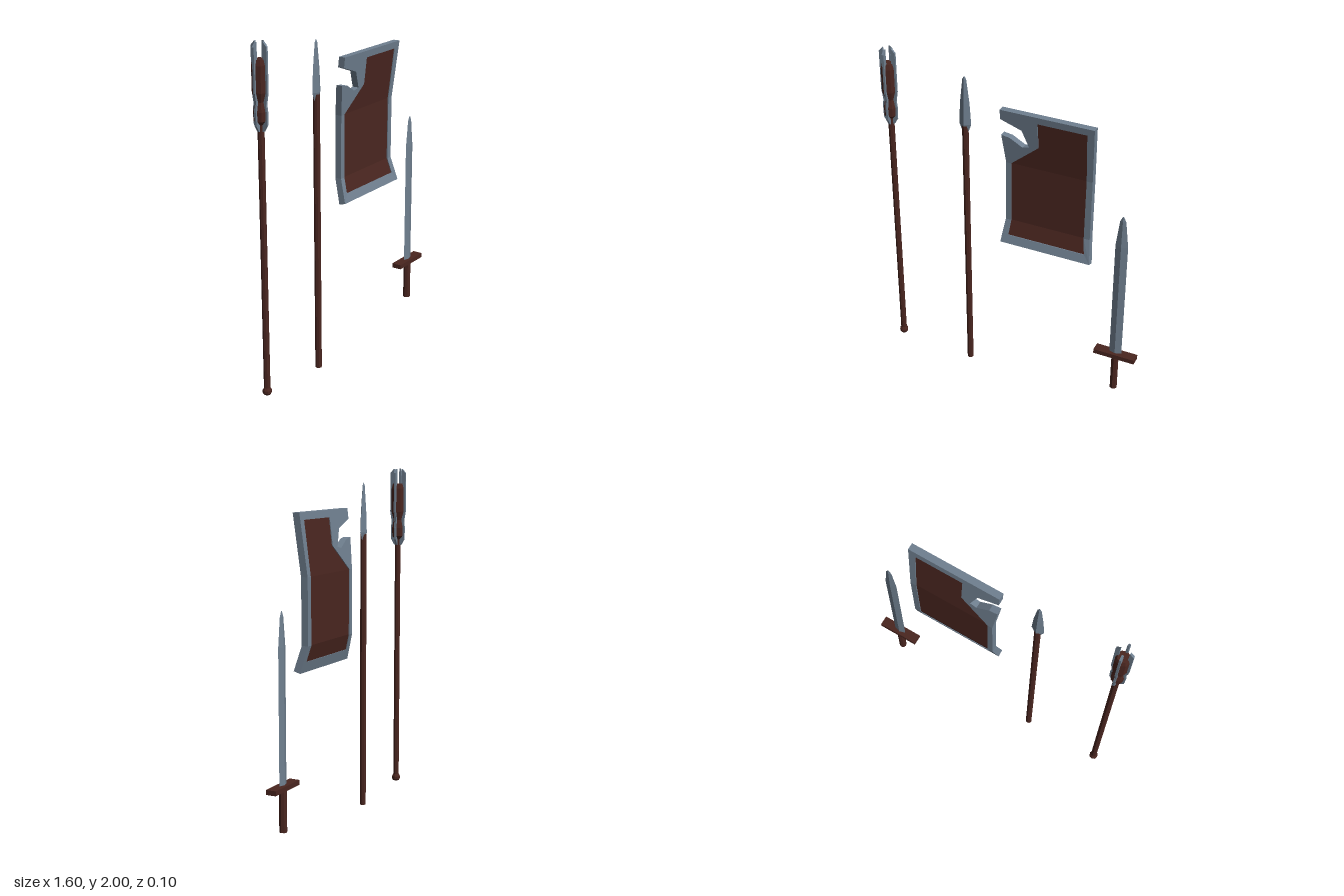
import * as THREE from 'three';

const wood = new THREE.MeshStandardMaterial({ color: 0x4a2620, flatShading: true });
const steel = new THREE.MeshStandardMaterial({ color: 0x708090, flatShading: true });

function add(parent, name, geometry, material, x = 0, y = 0, z = 0) {
  const mesh = new THREE.Mesh(geometry, material);
  mesh.name = name;
  mesh.position.set(x, y, z);
  parent.add(mesh);
  return mesh;
}

function group(parent, name, x = 0) {
  const g = new THREE.Group();
  g.name = name;
  g.position.x = x;
  parent.add(g);
  return g;
}

const points = (list) => list.map(([a, b]) => new THREE.Vector2(a, b));
const lathe = (profile, sides) => new THREE.LatheGeometry(points(profile), sides);
const rod = (r, y0, y1) => new THREE.CylinderGeometry(r, r, y1 - y0, 8).translate(0, (y0 + y1) / 2, 0);

// Heights of the shield's two bends, and its front surface at any height
const LOW = 1.08, HIGH = 1.45;
const frontZ = (y) => -0.01 + 0.04 * Math.max(0, (y - HIGH) / (1.79 - HIGH), (LOW - y) / (LOW - 0.93));

// One slab of the shield, sheared to follow the bends, without walls on the bend lines
function slab(outline, inset) {
  const depth = 0.04 - 2 * inset;
  const geo = new THREE.ExtrudeGeometry(new THREE.Shape(points(outline)), { depth, bevelEnabled: false });
  const p = geo.attributes.position;
  const kept = [];
  for (let i = 0; i < p.count; i += 3) {
    const tri = [0, 1, 2].map((k) => new THREE.Vector3().fromBufferAttribute(p, i + k));
    if ([LOW, HIGH].some((h) => tri.every((v) => Math.abs(v.y - h) < 1e-5))) continue;
    for (const v of tri) {
      const isFront = v.z > depth / 2;
      const z = v.z - depth - inset + frontZ(v.y);
      // The bottom edge is cut square to the slope
      const lift = isFront && v.y < 0.94 ? 0.012 : 0;
      kept.push(v.x, v.y + lift, z);
    }
  }
  const out = new THREE.BufferGeometry();
  out.setAttribute('position', new THREE.Float32BufferAttribute(kept, 3));
  out.computeVertexNormals();
  return out;
}

function buildMace(root) {
  const mace = group(root, 'mace', -0.75);
  add(mace, 'maceShaft', rod(0.018, 0.05, 1.6), wood);
  add(mace, 'macePommel', lathe([[0, 0.035], [0.02, 0.035], [0.026, 0.045], [0.026, 0.06], [0.018, 0.075]], 8), wood);
  add(mace, 'maceCore', lathe([
    [0.018, 1.57], [0.036, 1.59], [0.038, 1.64], [0.028, 1.69], [0.042, 1.74],
    [0.042, 1.88], [0.034, 1.91], [0, 1.91],
  ], 8), wood);
  // Four upright flanges around the core
  const flange = new THREE.ExtrudeGeometry(new THREE.Shape(points([
    [0.012, 1.535], [0.022, 1.535], [0.043, 1.57], [0.045, 1.64], [0.04, 1.68], [0.05, 1.74],
    [0.05, 1.975], [0.027, 2.0], [0.025, 1.9], [0.012, 1.88],
  ])), { depth: 0.012, bevelEnabled: false }).translate(0, 0, -0.006);
  for (let i = 0; i < 4; i++) add(mace, 'maceFlange', flange, steel).rotation.y = (i * Math.PI) / 2;
}

function buildSpear(root) {
  const spear = group(root, 'spear', -0.275);
  add(spear, 'spearShaft', rod(0.019, 0, 1.63), wood);
  const head = lathe([[0, 1.59], [0.018, 1.59], [0.037, 1.64], [0.029, 1.77], [0.012, 1.91], [0, 1.93]], 4);
  add(spear, 'spearHead', head, steel).scale.z = 0.58;
}

function buildSword(root) {
  const sword = group(root, 'sword', 0.675);
  add(sword, 'swordGrip', rod(0.022, 0.1, 0.34), wood);
  add(sword, 'swordGuard', new THREE.BoxGeometry(0.25, 0.027, 0.06), wood, 0, 0.347);
  const blade = lathe([[0.037, 0.35], [0.037, 1.1], [0.018, 1.26], [0.007, 1.285], [0, 1.293]], 4);
  add(sword, 'swordBlade', blade, steel).scale.z = 0.33;
}

function buildShield(root) {
  const shield = group(root, 'shield');
  // Steel rim in bands: notched top, two sides, bottom
  const rim = [
    [[-0.03, HIGH], [0, HIGH], [0.17, 1.595], [0.17, 1.75], [0.457, 1.75], [0.45, HIGH], [0.485, HIGH], [0.5, 1.79],
      [-0.05, 1.79], [-0.05, 1.73], [0.075, 1.685], [0.115, 1.585], [0.075, 1.575], [0, 1.62], [-0.05, 1.628]],
    [[-0.033, LOW], [0, LOW], [0, HIGH], [-0.03, HIGH]],
    [[0.446, LOW], [0.482, LOW], [0.485, HIGH], [0.45, HIGH]],
    [[-0.05, 0.93], [0.5, 0.93], [0.482, LOW], [0.446, LOW], [0.46, 0.99], [-0.008, 0.99], [0, LOW], [-0.033, LOW]],
  ];
  // Wooden panel, slightly sunk on both faces
  const panel = [
    [[0, HIGH], [0.45, HIGH], [0.457, 1.75], [0.17, 1.75], [0.17, 1.595]],
    [[0, LOW], [0.446, LOW], [0.45, HIGH], [0, HIGH]],
    [[-0.008, 0.99], [0.46, 0.99], [0.446, LOW], [0, LOW]],
  ];
  rim.forEach((o) => add(shield, 'shieldRim', slab(o, 0), steel));
  panel.forEach((o) => add(shield, 'shieldPanel', slab(o, 0.005), wood));
}

export function createModel() {
  const root = new THREE.Group();
  root.name = 'weaponSet';
  buildMace(root);
  buildSpear(root);
  buildShield(root);
  buildSword(root);
  return root;
}
